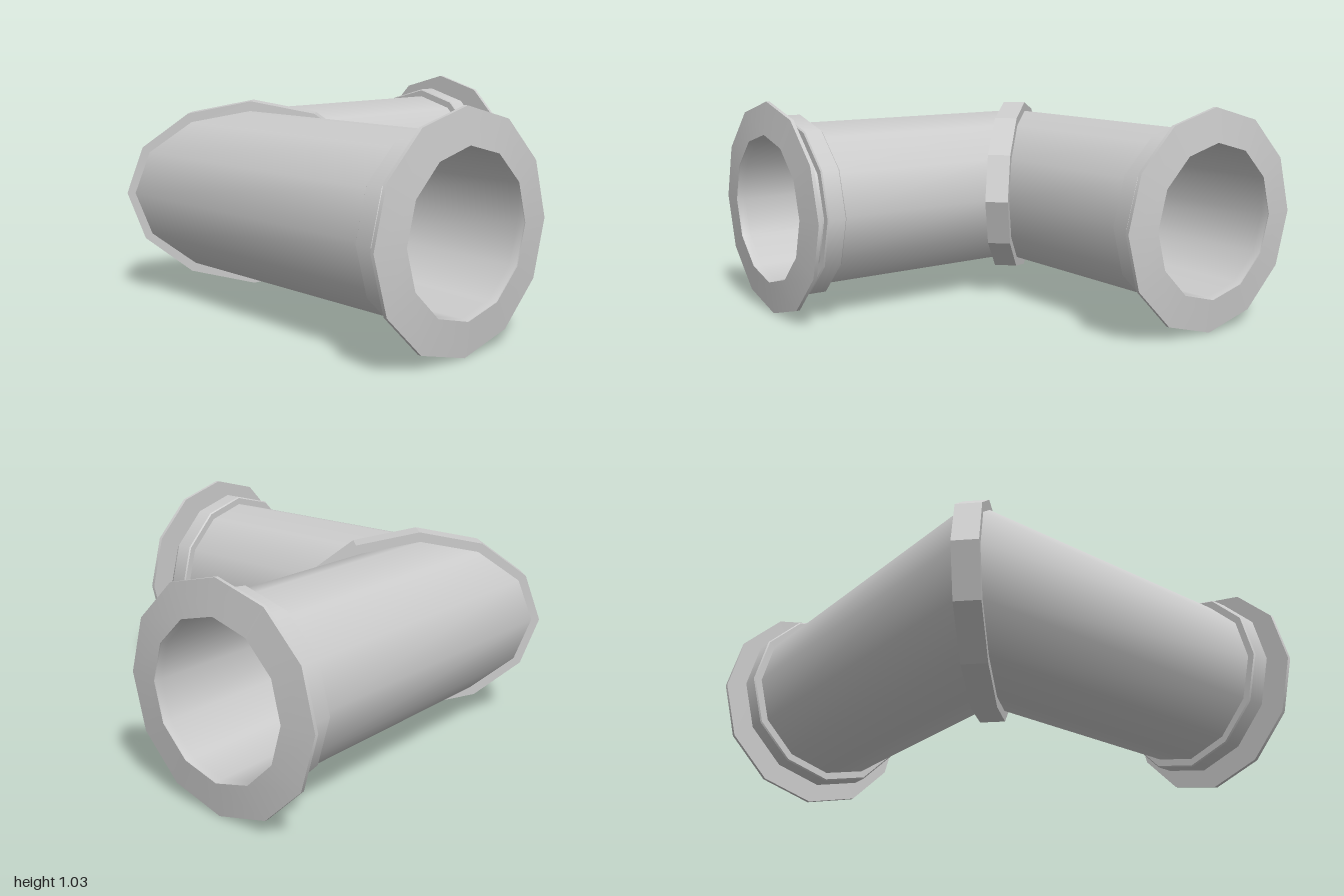
import * as THREE from 'three';
import { mergeGeometries } from 'three/addons/utils/BufferGeometryUtils.js';

const SIDES = 12;
const AXIS_Y = 0.516;  // height of the pipe axes
const AXIS_Z = 0.485;  // distance of each pipe axis from the centre
const MITRE = 0;       // axial value marking an end cut along the 45 degree joint

const material = new THREE.MeshStandardMaterial({ color: 0xcccccc });

// Revolve [radius, position] pairs about the pipe axis (+x);
// points marked MITRE slide along the pipe to the diagonal plane.
function revolve(profile, mitreOffset = 0) {
  const geo = new THREE.LatheGeometry(profile.map(([r, a]) => new THREE.Vector2(r, a)), SIDES);
  geo.rotateZ(-Math.PI / 2);
  geo.translate(0, 0, AXIS_Z);
  const pos = geo.attributes.position;
  for (let i = 0; i < pos.count; i++) {
    if (Math.abs(pos.getX(i) - MITRE) < 1e-3) pos.setX(i, mitreOffset - pos.getZ(i));
  }
  return geo;
}

// Revolve with a hard edge at every profile point
function revolveSharp(profile) {
  return mergeGeometries(profile.slice(1).map((p, i) => revolve([profile[i], p])));
}

function addMesh(parent, name, geometry) {
  const mesh = new THREE.Mesh(geometry, material);
  mesh.name = name;
  parent.add(mesh);
  return mesh;
}

function createPipe(name) {
  const pipe = new THREE.Group();
  pipe.name = name;
  addMesh(pipe, 'outerWall', revolve([[0.403, MITRE], [0.403, 0.85]], 0.05));
  addMesh(pipe, 'innerWall', revolve([[0.357, 0.995], [0.352, 0.96], [0.352, MITRE]]));
  // raised band behind the flange
  addMesh(pipe, 'collar', revolveSharp([
    [0.39, 0.805], [0.437, 0.805], [0.443, 0.811], [0.443, 0.894], [0.437, 0.9], [0.39, 0.9],
  ]));
  // rounded shoulder leading into the flange
  addMesh(pipe, 'neck', revolve([[0.403, 0.89], [0.402, 0.92], [0.394, 0.945], [0.375, 0.968]]));
  // thin end plate, slightly dished towards the rim
  addMesh(pipe, 'flange', revolveSharp([
    [0.36, 0.965], [0.513, 0.965], [0.513, 0.982], [0.357, 1.0], [0.357, 0.96],
  ]));
  return pipe;
}

function ellipsePoints(rx, ry) {
  return Array.from({ length: SIDES }, (_, i) => {
    const t = (i / SIDES) * Math.PI * 2;
    return new THREE.Vector2(Math.cos(t) * rx, Math.sin(t) * ry);
  });
}

export function createModel() {
  const model = new THREE.Group();
  model.name = 'pipeElbow';
  const body = new THREE.Group();
  body.name = 'elbowBody';
  body.position.y = AXIS_Y;
  model.add(body);

  // two identical arms, related by a half turn about the joint diagonal
  body.add(createPipe('sidePipe'));
  const rear = createPipe('rearPipe');
  rear.quaternion.setFromAxisAngle(new THREE.Vector3(1, 0, -1).normalize(), Math.PI);
  body.add(rear);

  // faceted oval band around the mitred joint
  const shape = new THREE.Shape(ellipsePoints(0.614, 0.45));
  shape.holes.push(new THREE.Path(ellipsePoints(0.565, 0.395)));
  const depth = 0.113;
  const bandGeo = new THREE.ExtrudeGeometry(shape, { depth, bevelEnabled: false });
  bandGeo.translate(0, 0, -depth / 2);
  const band = addMesh(body, 'jointBand', bandGeo);
  band.rotation.y = Math.PI / 4;
  band.position.set(-0.442, 0, 0.442);

  return model;
}
